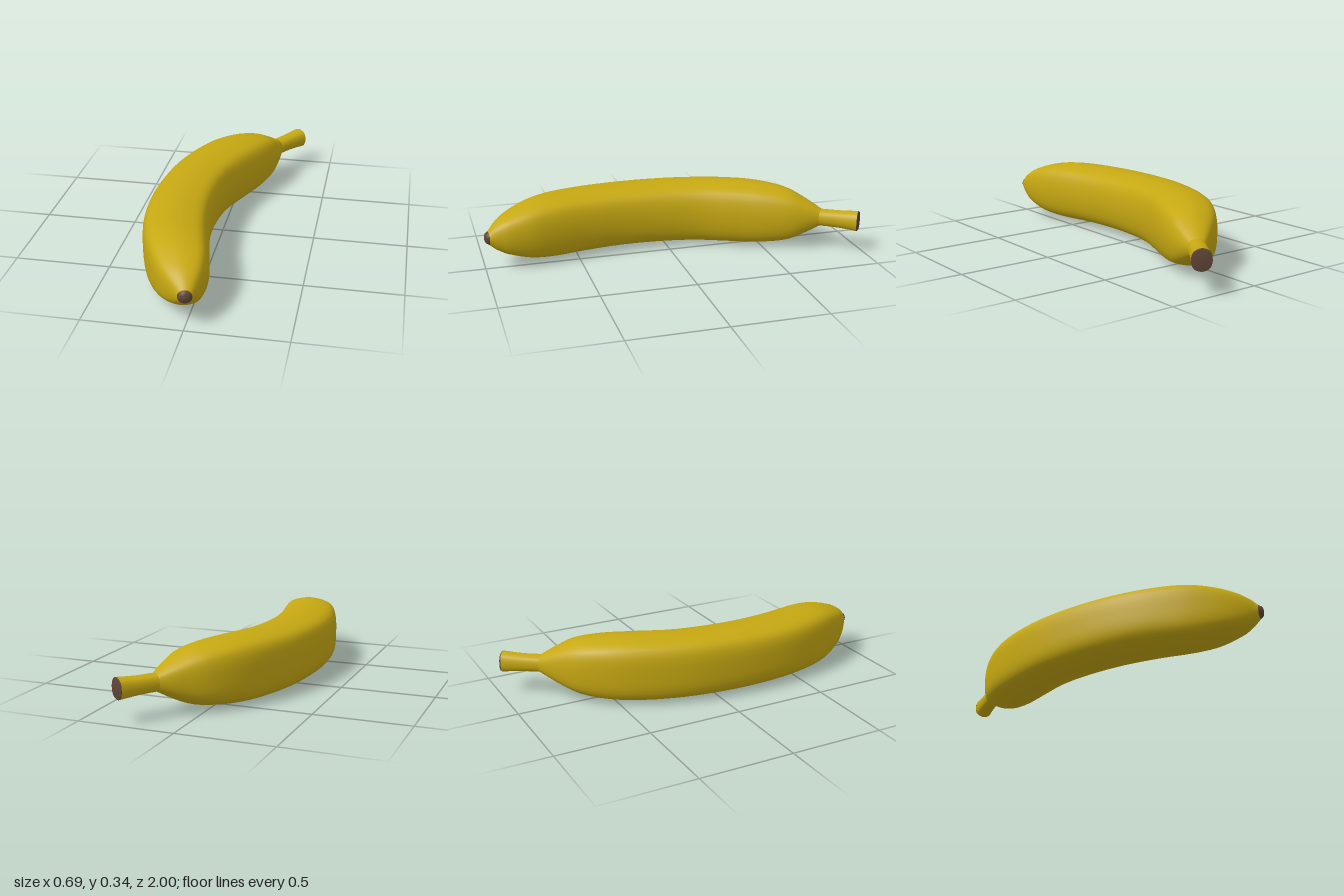
import * as THREE from 'three';

const RING = 56;
const MID_Y = 0.173;

// Soft four-ridged cross-section: first axis points to the outer bend, second points up
const half = [[0.87, 0.77], [0.25, 1], [-0.35, 0.97], [-0.83, 0.75]];
const sectionCurve = new THREE.CatmullRomCurve3([
  [1, 0], ...half, [-1, 0], ...half.map(([u, v]) => [u, -v]).reverse(),
].map(([u, v]) => new THREE.Vector3(u, v, 0)), true);
const section = Array.from({ length: RING }, (_, j) => sectionCurve.getPoint(j / RING));

// Station: outer x, outer z, inner x, inner z, half height, roundness (0 ridged, 1 circular)
function loft(name, stations, steps, material) {
  const outer = new THREE.CatmullRomCurve3(stations.map((s) => new THREE.Vector3(s[0], s[4], s[1])));
  const inner = new THREE.CatmullRomCurve3(stations.map((s) => new THREE.Vector3(s[2], s[5], s[3])));
  const rows = (stations.length - 1) * steps;
  const positions = [];
  const index = [];
  for (let i = 0; i <= rows; i++) {
    const o = outer.getPoint(i / rows);
    const n = inner.getPoint(i / rows);
    const round = THREE.MathUtils.clamp(n.y, 0, 1);
    for (let j = 0; j < RING; j++) {
      const p = section[j].clone().lerp(section[j].clone().normalize(), round);
      positions.push(
        (o.x + n.x) / 2 + p.x * (o.x - n.x) / 2,
        MID_Y + p.y * o.y,
        (o.z + n.z) / 2 + p.x * (o.z - n.z) / 2,
      );
      if (i === rows) continue;
      const a = i * RING + j;
      const b = i * RING + (j + 1) % RING;
      index.push(a, a + RING, b, b, a + RING, b + RING);
    }
  }
  const geometry = new THREE.BufferGeometry();
  geometry.setAttribute('position', new THREE.Float32BufferAttribute(positions, 3));
  geometry.setIndex(index);
  geometry.computeVertexNormals();
  const mesh = new THREE.Mesh(geometry, material);
  mesh.name = name;
  return mesh;
}

export function createModel() {
  const peelYellow = new THREE.MeshStandardMaterial({ color: 0xc6a812 });
  peelYellow.name = 'peelYellow';
  const tipBrown = new THREE.MeshStandardMaterial({ color: 0x604538 });
  tipBrown.name = 'tipBrown';

  const stemEnd = [0.263, -0.995, 0.345, -0.94, 0.055, 0.6];
  const stemBase = [0.15, -0.83, 0.225, -0.775, 0.045, 0.6];
  const blossomEnd = [-0.03, 0.983, 0.04, 0.972, 0.035, 0.9];

  const group = new THREE.Group();
  group.name = 'banana';
  group.add(
    // Cut face of the stem
    loft('stemCut', [
      [0.308, -0.973, 0.308, -0.973, 0, 0.6],
      [0.267, -1.0, 0.343, -0.946, 0.05, 0.6],
      stemEnd,
    ], 1, tipBrown),
    // Stem, flared slightly towards the cut
    loft('stem', [stemEnd, [0.21, -0.917, 0.283, -0.862, 0.047, 0.6], stemBase], 5, peelYellow),
    // Curved fruit body
    loft('body', [
      stemBase,
      [0.045, -0.76, 0.219, -0.685, 0.098, 0.3],
      [-0.06, -0.675, 0.203, -0.61, 0.14, 0.15],
      [-0.165, -0.54, 0.158, -0.49, 0.163, 0.05],
      [-0.243, -0.38, 0.09, -0.34, 0.169, 0],
      [-0.31, -0.17, 0.02, -0.16, 0.167, 0],
      [-0.343, 0.05, -0.01, 0.03, 0.165, 0],
      [-0.348, 0.27, -0.012, 0.24, 0.163, 0],
      [-0.324, 0.47, 0.013, 0.44, 0.162, 0],
      [-0.27, 0.65, 0.05, 0.62, 0.16, 0],
      [-0.22, 0.76, 0.072, 0.74, 0.146, 0.05],
      [-0.15, 0.87, 0.072, 0.85, 0.112, 0.15],
      [-0.09, 0.935, 0.058, 0.92, 0.078, 0.4],
      blossomEnd,
    ], 5, peelYellow),
    // Dark nub at the blossom end
    loft('blossomTip', [
      blossomEnd,
      [-0.018, 0.996, 0.028, 0.99, 0.024, 1],
      [0.006, 1.0, 0.006, 1.0, 0, 1],
    ], 3, tipBrown),
  );
  return group;
}
